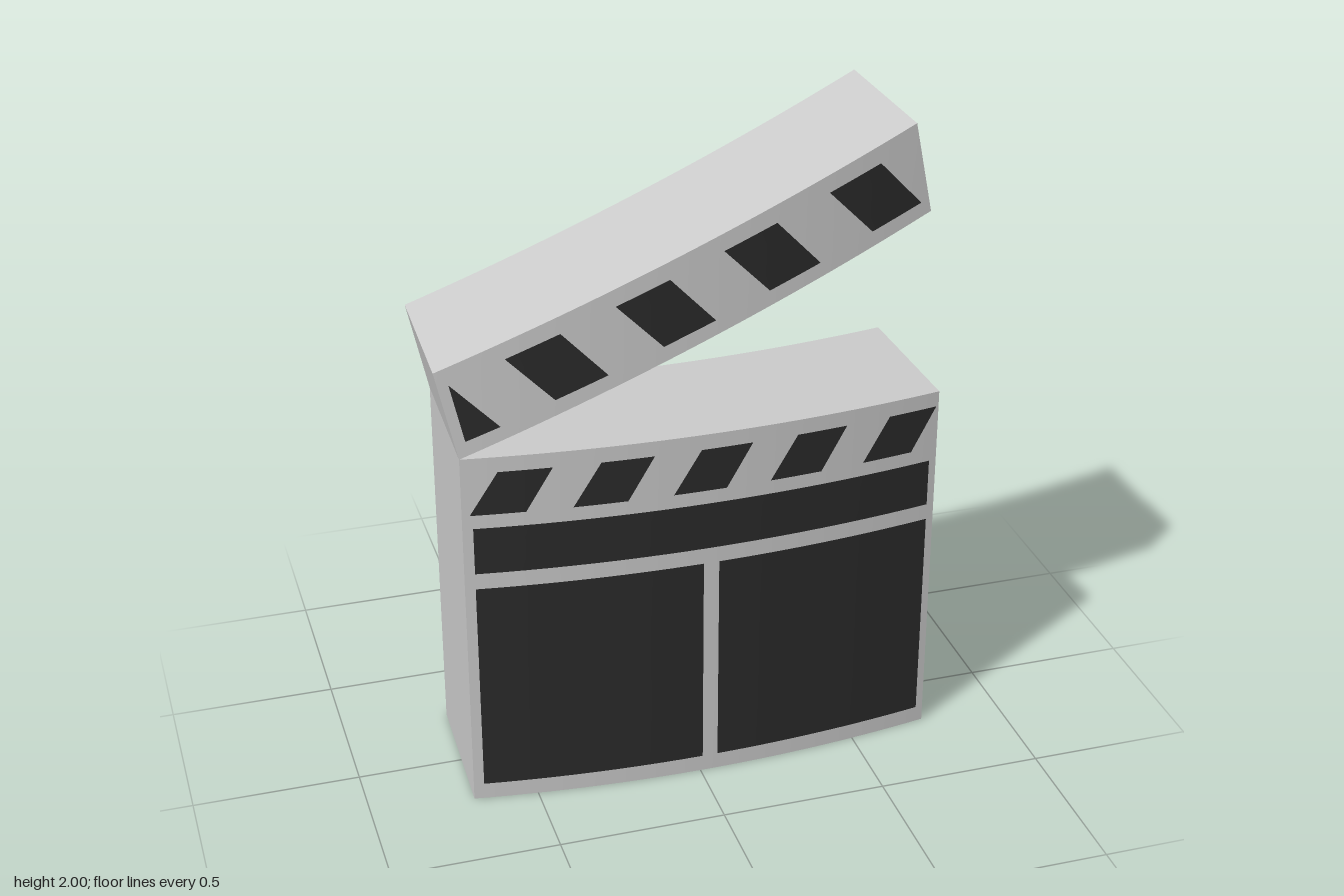
import * as THREE from 'three';

const grey = new THREE.MeshStandardMaterial({ color: 0xcccccc });
const black = new THREE.MeshStandardMaterial({ color: 0x2b2b2b });

// Maps a unit block onto four corners (bottom left, bottom right, top right, top left),
// then bows it so the front bulges and the back is hollow.
function warp(geometry, [a, b, c, d]) {
  const p = geometry.attributes.position;
  for (let i = 0; i < p.count; i++) {
    const u = p.getX(i) + 0.5, v = p.getY(i) + 0.5, t = p.getZ(i) * 2;
    const at = (k) => (a[k] * (1 - u) + b[k] * u) * (1 - v) + (d[k] * (1 - u) + c[k] * u) * v;
    const x = at(0);
    p.setXYZ(i, x * (0.99 + 0.01 * t), at(1), 0.031 + 0.231 * t - 0.115 * x * x);
  }
  geometry.computeVertexNormals();
  return geometry;
}

const rect = (x0, x1, y0, y1) => [[x0, y0], [x1, y0], [x1, y1], [x0, y1]];
const shift = (corners, dx, dy) => corners.map(([x, y]) => [x + dx, y + dy]);

function addBlock(group, name, corners) {
  const mesh = new THREE.Mesh(warp(new THREE.BoxGeometry(1, 1, 1, 32, 4, 1), corners), grey);
  mesh.name = name;
  group.add(mesh);
}

// Dark marking on both the front and the back face
function addMarking(group, name, corners) {
  for (const side of ['Front', 'Back']) {
    const plane = new THREE.PlaneGeometry(1, 1, 20, 4).translate(0, 0, 0.506);
    if (side === 'Back') plane.rotateY(Math.PI);
    const mesh = new THREE.Mesh(warp(plane, corners), black);
    mesh.name = name + side;
    group.add(mesh);
  }
}

export function createModel() {
  const model = new THREE.Group();
  model.name = 'clapperboard';

  // Slate with its stripes and writing panels
  const slate = new THREE.Group();
  slate.name = 'slate';
  addBlock(slate, 'slateBody', rect(-0.69, 0.745, 0, 1.15));
  addMarking(slate, 'titlePanel', rect(-0.66, 0.721, 0.779, 0.927));
  addMarking(slate, 'rightPanel', rect(-0.66, 0.006, 0.053, 0.729));
  addMarking(slate, 'leftPanel', rect(0.053, 0.721, 0.053, 0.729));
  const slateStripe = [[-0.668, 0.97], [-0.51, 0.97], [-0.432, 1.104], [-0.586, 1.104]];
  for (let i = 0; i < 5; i++) addMarking(slate, 'slateStripe', shift(slateStripe, i * 0.292, 0));

  // Raised clapper stick, hinged at the model's right
  const stick = new THREE.Group();
  stick.name = 'clapperStick';
  addBlock(stick, 'stickBody', [[-0.69, 1.15], [0.685, 1.73], [0.627, 2], [-0.75, 1.42]]);
  const stickStripe = [[-0.42, 1.314], [-0.27, 1.375], [-0.402, 1.514], [-0.555, 1.451]];
  for (let i = 0; i < 4; i++) addMarking(stick, 'stickStripe', shift(stickStripe, i * 0.307, i * 0.129));
  addMarking(stick, 'hingeTriangle', [[-0.671, 1.206], [-0.573, 1.245], [-0.71, 1.383], [-0.71, 1.383]]);

  model.add(slate, stick);
  return model;
}
